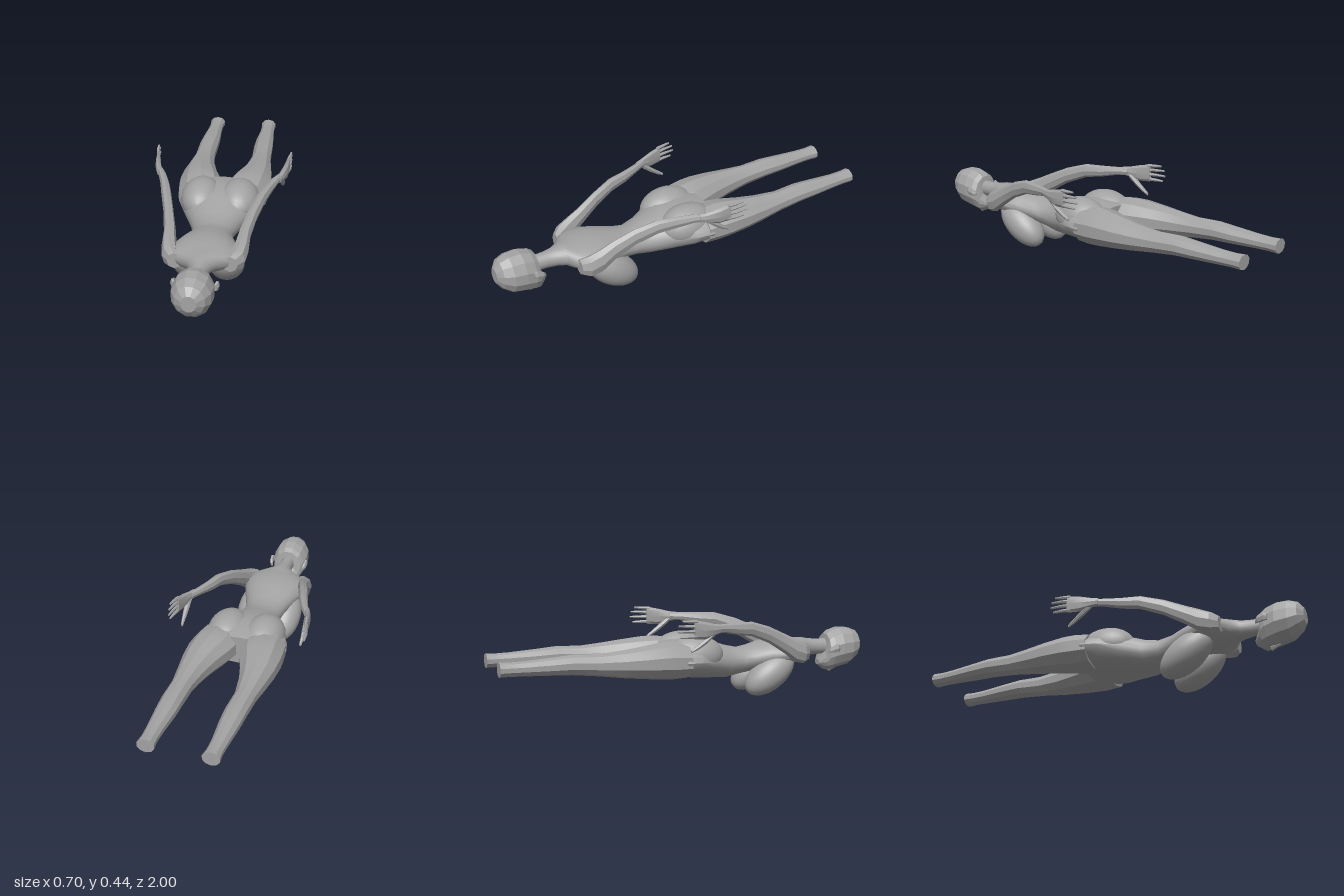
import * as THREE from 'three';
import { toCreasedNormals } from 'three/addons/utils/BufferGeometryUtils.js';

const grey = new THREE.MeshStandardMaterial({ color: 0xa3a3a3 });
grey.name = 'plain grey';

// Closed skin through elliptical sections [z, x, y, halfWidth, halfHeight], from +z to -z.
function loft(sections, sides, crease = 0.4, turn = 0) {
  const pos = [], idx = [];
  for (const [z, x, y, rx, ry] of sections) {
    for (let j = 0; j < sides; j++) {
      const a = turn + (j / sides) * Math.PI * 2;
      pos.push(x + Math.cos(a) * rx, y + Math.sin(a) * ry, z);
    }
  }
  const n = sections.length;
  const first = n * sides, last = first + 1;
  for (const [z, x, y] of [sections[0], sections[n - 1]]) pos.push(x, y, z);
  for (let j = 0; j < sides; j++) {
    const k = (j + 1) % sides;
    for (let i = 0; i < n - 1; i++) {
      const a = i * sides + j, b = i * sides + k;
      idx.push(a, a + sides, b, b, a + sides, b + sides);
    }
    idx.push(first, j, k, last, (n - 1) * sides + k, (n - 1) * sides + j);
  }
  const g = new THREE.BufferGeometry();
  g.setAttribute('position', new THREE.Float32BufferAttribute(pos, 3));
  g.setIndex(idx);
  return toCreasedNormals(g, crease);
}

export function createModel() {
  const model = new THREE.Group();
  model.name = 'lying mannequin';

  const add = (name, geometry, parent = model) => {
    const mesh = new THREE.Mesh(geometry, grey);
    mesh.name = name;
    parent.add(mesh);
    return mesh;
  };
  const ellipsoid = (name, centre, radii, tilt = 0, w = 24, h = 16) => {
    const mesh = add(name, new THREE.SphereGeometry(1, w, h));
    mesh.position.set(...centre);
    mesh.scale.set(...radii);
    mesh.rotation.x = tilt;
    return mesh;
  };

  // Neck, ribcage, waist and hips
  add('torso', loft([
    [0.84, 0, 0.225, 0.036, 0.042],
    [0.74, 0, 0.225, 0.037, 0.042],
    [0.69, 0, 0.226, 0.05, 0.046],
    [0.65, 0, 0.228, 0.075, 0.052],
    [0.615, 0, 0.222, 0.135, 0.056],
    [0.57, 0, 0.217, 0.165, 0.066],
    [0.5, 0, 0.213, 0.163, 0.074],
    [0.42, 0, 0.203, 0.135, 0.074],
    [0.34, 0, 0.188, 0.108, 0.068],
    [0.28, 0, 0.178, 0.1, 0.068],
    [0.2, 0, 0.18, 0.12, 0.084],
    [0.1, 0, 0.2, 0.17, 0.098],
    [0.0, 0, 0.21, 0.215, 0.1],
    [-0.08, 0, 0.213, 0.232, 0.09],
    [-0.14, 0, 0.216, 0.215, 0.075],
  ], 20, 0.6));

  // Faceted skull tapering to the chin
  add('head', loft([
    [1.0, 0, 0.23, 0.035, 0.04],
    [0.975, 0, 0.23, 0.07, 0.075],
    [0.93, 0, 0.222, 0.091, 0.101],
    [0.87, 0, 0.217, 0.096, 0.108],
    [0.82, 0, 0.205, 0.09, 0.106],
    [0.797, 0, 0.195, 0.08, 0.1],
    [0.783, 0, 0.158, 0.062, 0.052],
    [0.755, 0, 0.14, 0.025, 0.014],
  ], 12, 0.15, Math.PI / 12));

  // Nose
  add('nose', loft([
    [0.87, 0, 0.112, 0.006, 0.006],
    [0.825, 0, 0.1, 0.015, 0.016],
    [0.815, 0, 0.106, 0.012, 0.008],
  ], 6, 0.1));

  for (const s of [1, -1]) {
    const side = s > 0 ? 'left' : 'right';

    // Ear
    add(side + 'Ear', loft([
      [0.838, s * 0.093, 0.222, 0.008, 0.018],
      [0.825, s * 0.099, 0.224, 0.011, 0.024],
      [0.795, s * 0.097, 0.216, 0.01, 0.019],
      [0.78, s * 0.09, 0.208, 0.006, 0.01],
    ], 6, 0.2));

    // Rounded chest and seat volumes
    ellipsoid(side + 'Chest', [s * 0.088, 0.113, 0.425], [0.087, 0.085, 0.155], -0.61);
    ellipsoid(side + 'Seat', [s * 0.095, 0.232, 0.0], [0.105, 0.102, 0.15]);

    // Leg, cut off at the ankle
    add(side + 'Leg', loft([
      [-0.06, s * 0.122, 0.214, 0.108, 0.088],
      [-0.14, s * 0.122, 0.218, 0.117, 0.096],
      [-0.2, s * 0.131, 0.22, 0.111, 0.092],
      [-0.3, s * 0.147, 0.22, 0.09, 0.08],
      [-0.4, s * 0.154, 0.22, 0.07, 0.068],
      [-0.52, s * 0.156, 0.223, 0.053, 0.054],
      [-0.65, s * 0.154, 0.232, 0.053, 0.049],
      [-0.75, s * 0.153, 0.23, 0.05, 0.043],
      [-0.88, s * 0.153, 0.228, 0.04, 0.036],
      [-0.95, s * 0.152, 0.228, 0.038, 0.034],
      [-1.0, s * 0.151, 0.229, 0.043, 0.036],
    ], 10, 0.25, Math.PI / 10));

    // Arm from shoulder to wrist
    add(side + 'Arm', loft([
      [0.62, s * 0.13, 0.215, 0.035, 0.04],
      [0.585, s * 0.155, 0.22, 0.04, 0.055],
      [0.53, s * 0.168, 0.238, 0.036, 0.06],
      [0.46, s * 0.176, 0.28, 0.029, 0.05],
      [0.36, s * 0.2, 0.332, 0.025, 0.042],
      [0.25, s * 0.23, 0.37, 0.025, 0.036],
      [0.16, s * 0.253, 0.377, 0.023, 0.03],
      [0.08, s * 0.28, 0.386, 0.02, 0.022],
      [0.02, s * 0.306, 0.388, 0.016, 0.02],
    ], 8, 0.3));

    // Hand with four fingers and a thumb
    const hand = new THREE.Group();
    hand.name = side + 'Hand';
    model.add(hand);
    add('palm', loft([
      [0.055, s * 0.298, 0.388, 0.016, 0.021],
      [0.02, s * 0.31, 0.386, 0.016, 0.027],
      [-0.04, s * 0.325, 0.386, 0.015, 0.042],
      [-0.1, s * 0.333, 0.394, 0.01, 0.046],
    ], 8, 0.3), hand);
    [[0.431, 0.437, -0.165], [0.408, 0.415, -0.185], [0.385, 0.388, -0.19], [0.36, 0.36, -0.175]]
      .forEach(([y0, y1, end], i) => add('finger' + (i + 1), loft([
        [-0.085, s * 0.332, y0, 0.008, 0.01],
        [-0.13, s * 0.34, (y0 + y1) / 2, 0.008, 0.008],
        [end, s * 0.343, y1, 0.005, 0.005],
      ], 6, 0.3), hand));
    add('thumb', loft([
      [0.015, s * 0.308, 0.372, 0.012, 0.018],
      [-0.03, s * 0.312, 0.335, 0.014, 0.016],
      [-0.07, s * 0.311, 0.306, 0.01, 0.013],
      [-0.105, s * 0.309, 0.285, 0.006, 0.008],
    ], 6, 0.3), hand);
  }
  return model;
}
